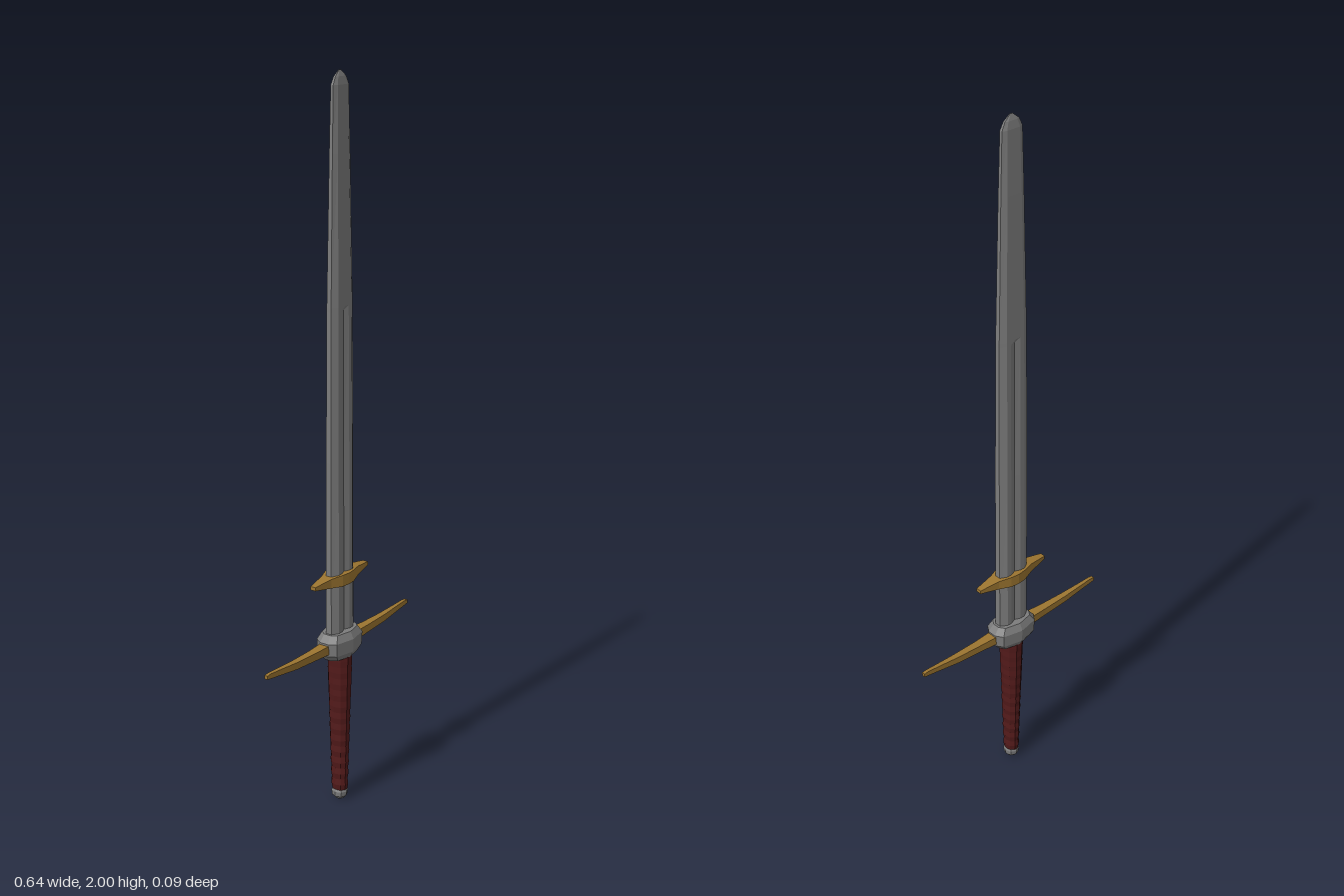
import * as THREE from 'three';

const flat = (name, color) => {
  const m = new THREE.MeshStandardMaterial({ color });
  m.name = name;
  m.flatShading = true;
  return m;
};

// Skin a list of equal-length rings (counter-clockwise about the direction of travel), with end caps
function loft(rings) {
  const pos = [];
  const n = rings[0].length;
  const tri = (a, b, c) => pos.push(...a, ...b, ...c);
  for (let r = 0; r < rings.length - 1; r++) {
    for (let i = 0; i < n; i++) {
      const j = (i + 1) % n, lo = rings[r], hi = rings[r + 1];
      tri(lo[i], lo[j], hi[j]);
      tri(lo[i], hi[j], hi[i]);
    }
  }
  const centre = ring => [0, 1, 2].map(k => ring.reduce((s, p) => s + p[k], 0) / n);
  const first = rings[0], last = rings[rings.length - 1];
  const c0 = centre(first), c1 = centre(last);
  for (let i = 0; i < n; i++) {
    const j = (i + 1) % n;
    tri(c0, first[j], first[i]);
    tri(c1, last[i], last[j]);
  }
  const g = new THREE.BufferGeometry();
  g.setAttribute('position', new THREE.Float32BufferAttribute(pos, 3));
  g.computeVertexNormals();
  return g;
}

// Horizontal ellipse
const ellipse = (y, rx, rz, n) => Array.from({ length: n }, (_, i) => {
  const a = i / n * Math.PI * 2;
  return [Math.cos(a) * rx, y, -Math.sin(a) * rz];
});

// Blade section: flat narrow edges, bevels, and a central fuller of depth d
const bladeRing = (y, w, t, e, d) => {
  const g = w * 0.34, s = w * 0.62;
  const back = [[w, -e], [s, -t], [g, -t], [0, -t + d], [-g, -t], [-s, -t], [-w, -e]];
  const front = back.map(([x, z]) => [-x, -z]);
  return [...back, ...front].map(([x, z]) => [x, y, z]);
};

// Crossbar symmetric in x; stations are [x, centre y, half height, half depth]
function bar(stations) {
  const mirrored = stations.filter(s => s[0] > 0).map(([x, ...rest]) => [-x, ...rest]).reverse();
  return loft([...mirrored, ...stations].map(([x, y, h, d]) =>
    [[x, y + h, -d], [x, y + h, d], [x, y - h, d], [x, y - h, -d]]));
}

export function createModel() {
  const root = new THREE.Group();
  root.name = 'sword';
  const steel = flat('steel', 0x7c7c7c);
  const brass = flat('brass', 0x9c7530);
  const leather = flat('leather', 0x521a1a);
  const add = (name, geometry, material) => {
    const m = new THREE.Mesh(geometry, material);
    m.name = name;
    root.add(m);
  };

  // Blade: fuller stops at y = 1.41, then a plain taper to a short point
  add('blade', loft([
    bladeRing(0.48, 0.05, 0.021, 0.009, 0.007),
    bladeRing(1.0, 0.049, 0.019, 0.008, 0.006),
    bladeRing(1.4, 0.046, 0.017, 0.007, 0.005),
    bladeRing(1.412, 0.046, 0.017, 0.007, 0),
    bladeRing(1.8, 0.037, 0.012, 0.005, 0),
    bladeRing(1.965, 0.032, 0.009, 0.004, 0),
    bladeRing(1.985, 0.022, 0.006, 0.003, 0),
    bladeRing(2.0, 0.004, 0.001, 0.001, 0),
  ]), steel);

  // Faceted block where blade, grip and crossguard meet
  const blockRing = (y, s) => {
    const half = [[0.072, -0.013], [0.058, -0.034], [0, -0.047], [-0.058, -0.034], [-0.072, -0.013]];
    return [...half, ...half.map(([x, z]) => [-x, -z])].map(([x, z]) => [x * s, y, z * s]);
  };
  add('guardBlock', loft([
    blockRing(0.44, 0.76), blockRing(0.458, 0.97), blockRing(0.495, 1), blockRing(0.515, 0.78),
  ]), steel);

  // Long crossguard, rising a little towards the tips
  add('crossguard', bar([
    [0.055, 0.477, 0.013, 0.016],
    [0.12, 0.477, 0.011, 0.012],
    [0.2, 0.479, 0.010, 0.009],
    [0.27, 0.485, 0.008, 0.006],
    [0.305, 0.488, 0.007, 0.005],
    [0.318, 0.488, 0.005, 0.005],
  ]), brass);

  // Short lugs wrapped round the blade
  add('parryingLugs', bar([
    [0, 0.668, 0.016, 0.032],
    [0.025, 0.668, 0.016, 0.029],
    [0.06, 0.668, 0.013, 0.017],
    [0.118, 0.669, 0.005, 0.008],
  ]), brass);

  // Grip with shallow binding ridges, stronger near the bottom
  const gripRings = [];
  const steps = 24;
  for (let i = 0; i <= steps; i++) {
    const t = i / steps;
    const ridge = (i % 2 ? 1 : -1) * 0.0014 * (1 - t * 0.8);
    gripRings.push(ellipse(0.03 + 0.415 * t, 0.02 + 0.012 * t + ridge, 0.024 + 0.013 * t + ridge, 10));
  }
  add('grip', loft(gripRings), leather);

  // Pommel
  add('pommel', loft([
    ellipse(0, 0.012, 0.012, 8), ellipse(0.01, 0.021, 0.022, 8),
    ellipse(0.024, 0.022, 0.024, 8), ellipse(0.036, 0.016, 0.018, 8),
  ]), steel);

  return root;
}
